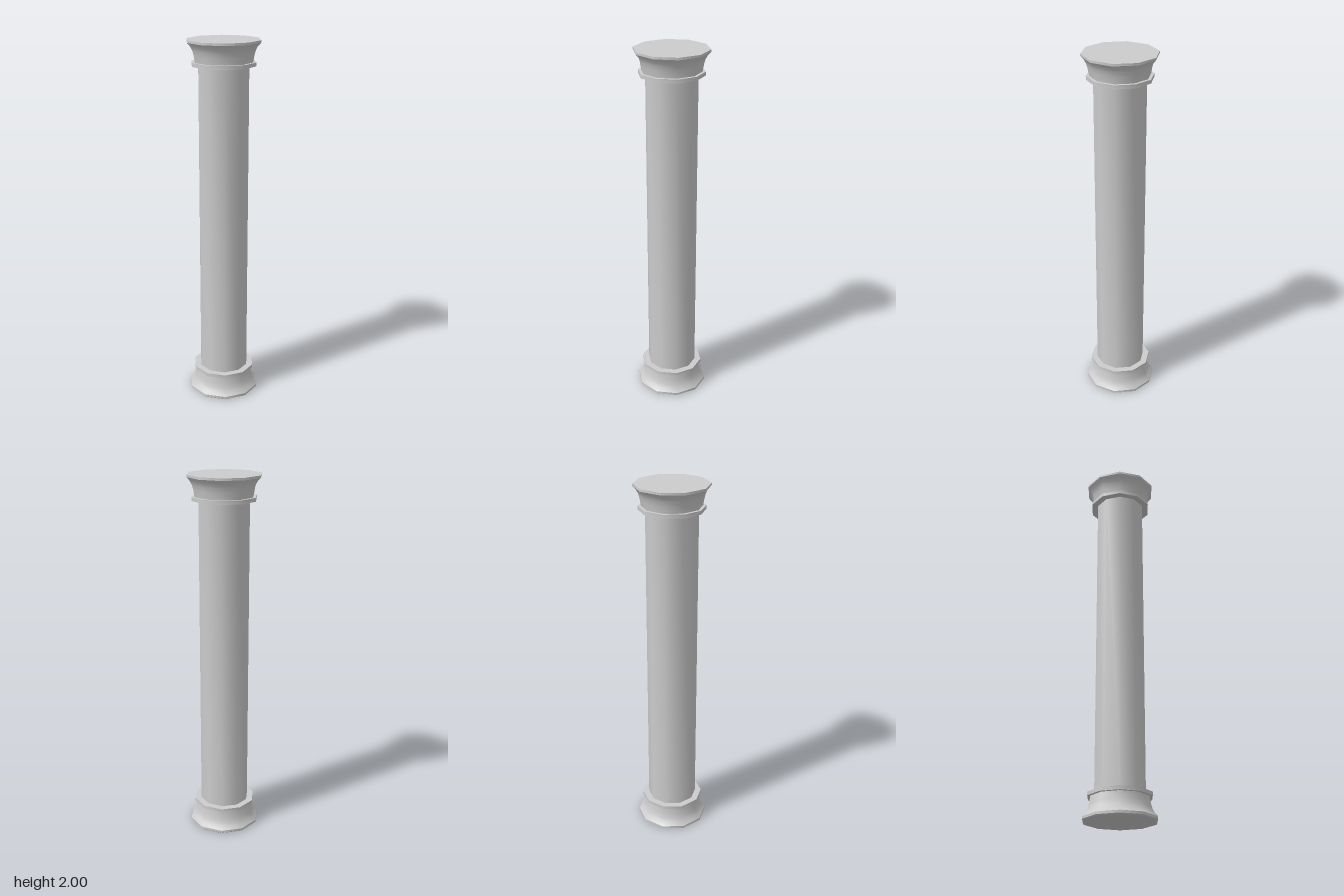
import * as THREE from 'three';
import { toCreasedNormals } from 'three/addons/utils/BufferGeometryUtils.js';

const SIDES = 10;
const material = new THREE.MeshStandardMaterial({ color: 0xcccccc });

// Ten-sided turned part with a corner on +x; profile is [radius, y] from bottom to top
function turned(name, profile) {
  const points = profile.map(([r, y]) => new THREE.Vector2(r, y));
  const lathe = new THREE.LatheGeometry(points, SIDES, Math.PI / 2);
  const mesh = new THREE.Mesh(toCreasedNormals(lathe, 0.7), material);
  mesh.name = name;
  return mesh;
}

// Flared foot: rim, concave sweep up to the neck
const flare = (rim, neckY) => [
  [0, 0], [0.192, 0], [0.198, 0.005], [0.198, rim],
  [0.18, rim + 0.02], [0.17, rim + 0.04], [0.163, rim + 0.065], [0.157, neckY],
];

// Flat collar between flare and shaft
const collar = (y0, y1) => [[0.13, y0], [0.173, y0], [0.173, y1], [0.13, y1]];

// Turn a foot profile upside down for the top of the column
const flip = (profile) => profile.map(([r, y]) => [r, 2 - y]).reverse();

export function createModel() {
  const column = new THREE.Group();
  column.name = 'column';

  // Base
  column.add(turned('baseFlare', flare(0.018, 0.125)));
  column.add(turned('baseCollar', collar(0.124, 0.143)));

  // Shaft
  column.add(turned('shaft', [[0.137, 0.13], [0.137, 1.88]]));

  // Capital, with a sharp flat top edge
  const capital = flare(0.012, 0.113);
  capital.splice(1, 2, [0.198, 0]);
  column.add(turned('capitalFlare', flip(capital)));
  column.add(turned('capitalCollar', flip(collar(0.113, 0.133))));

  return column;
}
